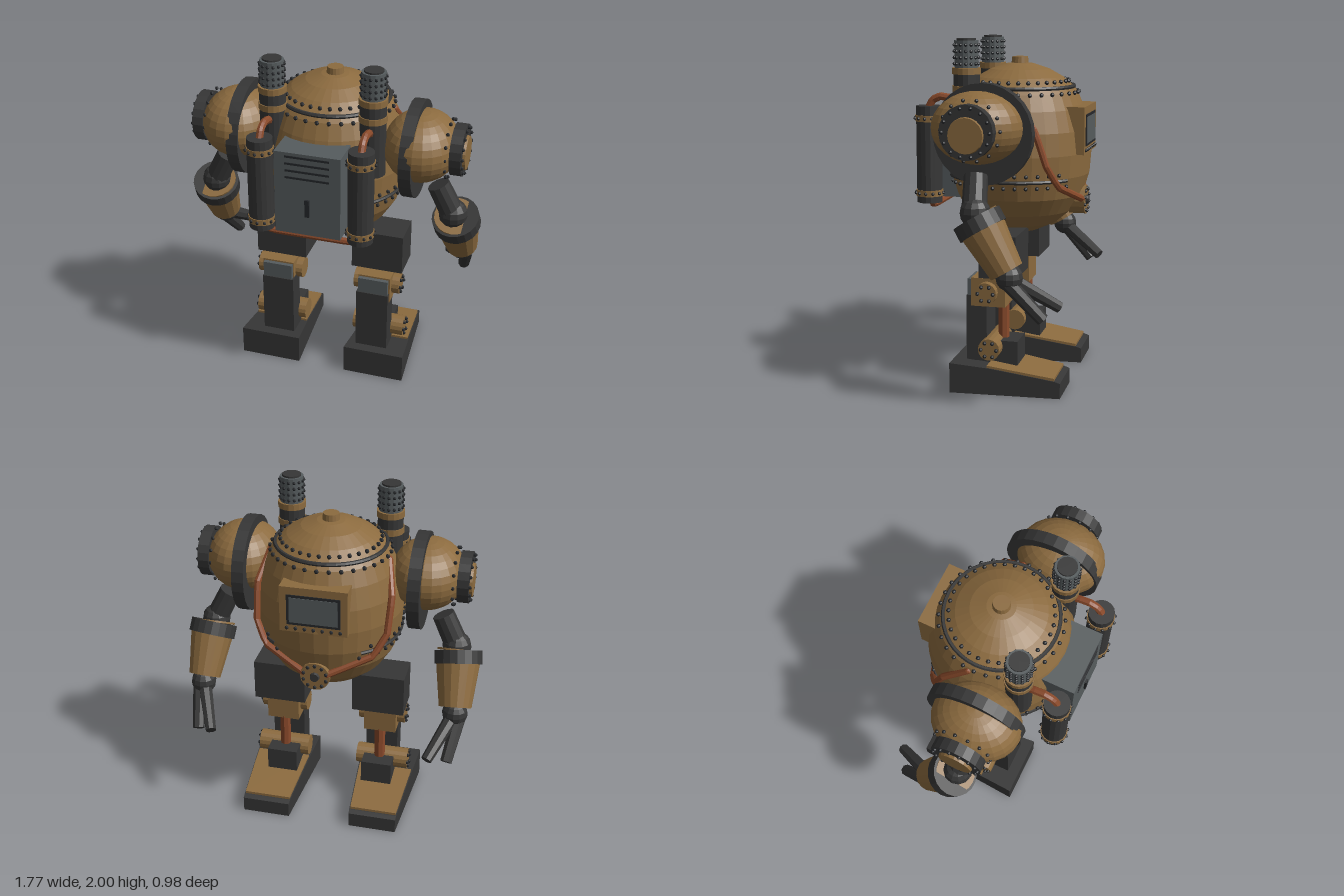
import * as THREE from 'three';
import { mergeGeometries } from 'three/addons/utils/BufferGeometryUtils.js';

const mat = (name, color) => {
  const m = new THREE.MeshStandardMaterial({ color, flatShading: true });
  m.name = name;
  return m;
};
const V = (x, y, z) => new THREE.Vector3(x, y, z);
const CZ = -0.055; // z of the hull axis

export function createModel() {
  const brass = mat('brass', 0x8c6b3f), iron = mat('dark iron', 0x363636), steel = mat('steel', 0x565c5e);
  const copper = mat('copper', 0x8a4a2b), rivet = mat('rivet black', 0x26282b);
  const root = new THREE.Group();
  root.name = 'walkerRobot';

  // helpers
  const add = (name, geo, m, p = V(0, 0, 0)) => {
    const mesh = new THREE.Mesh(geo, m);
    mesh.name = name;
    mesh.position.copy(p);
    root.add(mesh);
    return mesh;
  };
  const box = (name, m, x0, x1, y0, y1, z0, z1) =>
    add(name, new THREE.BoxGeometry(Math.abs(x1 - x0), y1 - y0, z1 - z0), m, V((x0 + x1) / 2, (y0 + y1) / 2, (z0 + z1) / 2));
  const rod = (name, m, a, b, ra, rb = ra, sides = 16) => {
    const mesh = add(name, new THREE.CylinderGeometry(rb, ra, a.distanceTo(b), sides), m, a.clone().add(b).multiplyScalar(0.5));
    mesh.quaternion.setFromUnitVectors(V(0, 1, 0), b.clone().sub(a).normalize());
    return mesh;
  };
  const ball = (name, m, p, rx, ry = rx, rz = rx, w = 16, h = 12) => {
    const mesh = add(name, new THREE.SphereGeometry(1, w, h), m, p);
    mesh.scale.set(rx, ry, rz);
    return mesh;
  };
  const pipe = (name, pts, r) => {
    const path = new THREE.CurvePath();
    for (let i = 1; i < pts.length; i++) path.add(new THREE.LineCurve3(pts[i - 1], pts[i]));
    add(name, new THREE.TubeGeometry(path, (pts.length - 1) * 4, r, 8), copper);
    pts.forEach((p, i) => { if (i === 0 || i === pts.length - 1) ball(name + 'End', copper, p, r, r, r, 8, 6); });
  };
  // ring of rivets around the x, y or z axis; keep() may drop some
  const rivets = (name, c, r, n, axis, size = 0.011, keep = () => true) => {
    const list = [];
    for (let i = 0; i < n; i++) {
      const t = (i / n) * Math.PI * 2, u = r * Math.sin(t), v = r * Math.cos(t);
      const o = axis === 'x' ? V(0, u, v) : axis === 'y' ? V(u, 0, v) : V(u, v, 0);
      if (keep(o)) list.push(new THREE.SphereGeometry(size, 6, 4).translate(c.x + o.x, c.y + o.y, c.z + o.z));
    }
    add(name, mergeGeometries(list), rivet);
  };

  // hull
  const profile = [[0, .86], [.11, .875], [.22, .925], [.31, 1], [.375, 1.1], [.41, 1.22], [.42, 1.35], [.408, 1.48],
    [.375, 1.6], [.337, 1.69], [.305, 1.73], [.25, 1.775], [.17, 1.82], [.08, 1.85], [0, 1.86]];
  add('hull', new THREE.LatheGeometry(profile.map(p => new THREE.Vector2(...p)), 32), brass, V(0, 0, CZ));
  rod('domeKnob', brass, V(0, 1.84, CZ), V(0, 1.89, CZ), 0.052, 0.046);
  add('domeSeam', new THREE.TorusGeometry(0.315, 0.012, 6, 40).rotateX(Math.PI / 2), iron, V(0, 1.722, CZ));
  rivets('domeRivetsInner', V(0, 1.753, CZ), 0.285, 32, 'y', 0.013);
  rivets('domeRivetsOuter', V(0, 1.69, CZ), 0.342, 32, 'y', 0.013);

  // waist seam, open at the back
  const arc = 2.5;
  add('waistSeam', new THREE.TorusGeometry(0.41, 0.011, 6, 48, arc * 2)
    .rotateZ(Math.PI / 2 - arc).rotateX(Math.PI / 2), iron, V(0, 1.21, CZ));
  const sides = o => o.z > -0.33;
  rivets('waistRivetsUpper', V(0, 1.245, CZ), 0.418, 40, 'y', 0.012, sides);
  rivets('waistRivetsLower', V(0, 1.175, CZ), 0.402, 40, 'y', 0.012, sides);

  // service locker on the front
  box('locker', steel, -0.19, 0.19, 1.08, 1.58, 0.24, 0.465);
  for (let i = 0; i < 4; i++) box('lockerVent', rivet, -0.127, 0.127, 1.424 + i * 0.042, 1.436 + i * 0.042, 0.463, 0.469);
  box('lockerHandle', rivet, -0.013, 0.013, 1.2, 1.305, 0.46, 0.477);
  pipe('tankCrossPipe', [V(-0.29, 1.08, 0.4), V(-0.25, 1.04, 0.4), V(0.25, 1.04, 0.4), V(0.29, 1.08, 0.4)], 0.02);

  // viewing window on the back
  box('windowFrame', brass, -0.19, 0.19, 1.35, 1.62, -0.472, -0.25);
  box('windowRim', rivet, -0.15, 0.15, 1.395, 1.575, -0.477, -0.47);
  box('windowPane', steel, -0.135, 0.135, 1.41, 1.56, -0.48, -0.474);
  const windowRivets = [];
  for (let i = 0; i < 7; i++) windowRivets.push(new THREE.SphereGeometry(0.011, 6, 4).translate(-0.15 + i * 0.05, 1.372, -0.474));
  add('windowRivets', mergeGeometries(windowRivets), rivet);

  // round port below the window
  rod('port', brass, V(0, 1.065, -0.36), V(0, 1.065, -0.455), 0.085);
  rod('portHub', iron, V(0, 1.065, -0.45), V(0, 1.065, -0.47), 0.03, 0.025, 10);
  rivets('portRivets', V(0, 1.065, -0.457), 0.068, 10, 'z');

  for (const s of [1, -1]) {
    const P = (x, y, z) => V(s * x, y, z);

    // chimney stack
    rod('chimney', iron, P(0.29, 1.38, 0.185), P(0.29, 1.83, 0.185), 0.075);
    rod('chimneyTop', steel, P(0.29, 1.83, 0.185), P(0.29, 1.99, 0.185), 0.068);
    rod('chimneyMouth', iron, P(0.29, 1.985, 0.185), P(0.29, 2, 0.185), 0.055);
    for (const y of [1.72, 1.82]) rod('chimneyBand', brass, P(0.29, y - 0.018, 0.185), P(0.29, y + 0.018, 0.185), 0.081);
    for (let i = 0; i < 4; i++) rivets('chimneyRivets', P(0.29, 1.86 + i * 0.035, 0.185), 0.069, 14, 'y', 0.01);

    // pressure tank
    rod('tank', iron, P(0.29, 1.065, 0.41), P(0.29, 1.62, 0.41), 0.073);
    for (const y of [1.12, 1.55]) {
      rod('tankBand', brass, P(0.29, y - 0.018, 0.41), P(0.29, y + 0.018, 0.41), 0.078);
      rivets('tankRivets', P(0.29, y, 0.41), 0.08, 12, 'y', 0.01);
    }
    pipe('steamPipe', [P(0.29, 1.61, 0.41), P(0.29, 1.655, 0.385), P(0.29, 1.675, 0.34), P(0.29, 1.665, 0.27), P(0.29, 1.63, 0.22)], 0.022);
    pipe('hullPipe', [P(0.34, 1.66, -0.09), P(0.385, 1.5, -0.23), P(0.375, 1.3, -0.295), P(0.31, 1.18, -0.35), P(0.07, 1.08, -0.44)], 0.02);

    // shoulder
    ball('shoulder', brass, P(0.54, 1.53, 0.055), 0.215, 0.2, 0.255, 24, 16);
    rod('shoulderBand', iron, P(0.465, 1.492, 0.03), P(0.535, 1.492, 0.03), 0.28, 0.28, 28);
    rod('shoulderRing', iron, P(0.72, 1.53, 0.05), P(0.785, 1.53, 0.05), 0.148, 0.148, 20);
    rod('shoulderCap', brass, P(0.78, 1.515, 0.05), P(0.80, 1.515, 0.05), 0.1, 0.095, 20);
    rivets('shoulderRingRivets', P(0.79, 1.53, 0.05), 0.13, 14, 'x');
    rivets('shoulderRivets', P(0.70, 1.53, 0.05), 0.165, 14, 'x');

    // arm
    rod('upperArm', iron, P(0.64, 1.285, 0.035), P(0.73, 1.1, 0.02), 0.065, 0.07, 12);
    ball('elbow', iron, P(0.73, 1.1, 0.015), 0.085, 0.085, 0.085, 12, 8);
    rod('armCuff', iron, P(0.742, 1.075, 0.005), P(0.75, 1.008, -0.035), 0.138, 0.138, 20);
    rod('cuffFace', brass, P(0.742, 1.08, 0.008), P(0.742, 1.07, 0.002), 0.122, 0.122, 20);
    rod('forearm', brass, P(0.748, 1.02, -0.03), P(0.762, 0.795, -0.165), 0.128, 0.095, 16);
    ball('wrist', iron, P(0.764, 0.765, -0.18), 0.075, 0.075, 0.075, 12, 8);
    rod('finger', iron, P(0.755, 0.75, -0.19), P(0.645, 0.585, -0.43), 0.042, 0.032, 8);
    rod('finger', iron, P(0.79, 0.74, -0.18), P(0.75, 0.54, -0.36), 0.042, 0.035, 8);

    // hip, knee and shin
    box('hip', iron, s * 0.145, s * 0.455, 0.67, 0.915, -0.14, 0.075);
    box('knee', brass, s * 0.205, s * 0.4, 0.49, 0.655, -0.065, 0.135);
    box('kneePlate', steel, s * 0.21, s * 0.39, 0.545, 0.645, 0.13, 0.16);
    box('shin', iron, s * 0.2, s * 0.395, 0.165, 0.55, 0.045, 0.165);
    rod('piston', copper, P(0.3, 0.27, -0.033), P(0.3, 0.5, -0.033), 0.033, 0.033, 8);
    box('ankle', iron, s * 0.205, s * 0.39, 0.15, 0.29, -0.135, 0.1);
    for (const [name, y, z, x0, x1] of [['knee', 0.575, 0.04, 0.165, 0.445], ['ankle', 0.255, 0.015, 0.155, 0.47]]) {
      rod(name + 'Axle', brass, P(x0, y, z), P(x1, y, z), 0.063);
      rivets(name + 'AxleRivets', P(x1 + 0.004, y, z), 0.045, 6, 'x', 0.012);
    }

    // wedge foot with brass instep, narrowing to the toe
    const wedge = (name, m, pts, w) => {
      const g = new THREE.ExtrudeGeometry(new THREE.Shape(pts.map(p => new THREE.Vector2(...p))), { depth: w, bevelEnabled: false });
      g.translate(0, 0, -w / 2).rotateY(-Math.PI / 2);
      const a = g.attributes.position;
      for (let i = 0; i < a.count; i++) a.setX(i, a.getX(i) * (1 - 0.36 * Math.max(0, 0.235 - a.getZ(i))));
      g.computeVertexNormals();
      add(name, g, m, P(0.33, 0, 0));
    };
    wedge('foot', iron, [[-0.4, 0], [0.235, 0], [0.235, 0.175], [0, 0.155], [-0.37, 0.1], [-0.4, 0.09]], 0.37);
    wedge('instep', brass, [[-0.365, 0.098], [0.02, 0.15], [0.02, 0.17], [-0.365, 0.116]], 0.355);
  }
  return root;
}
